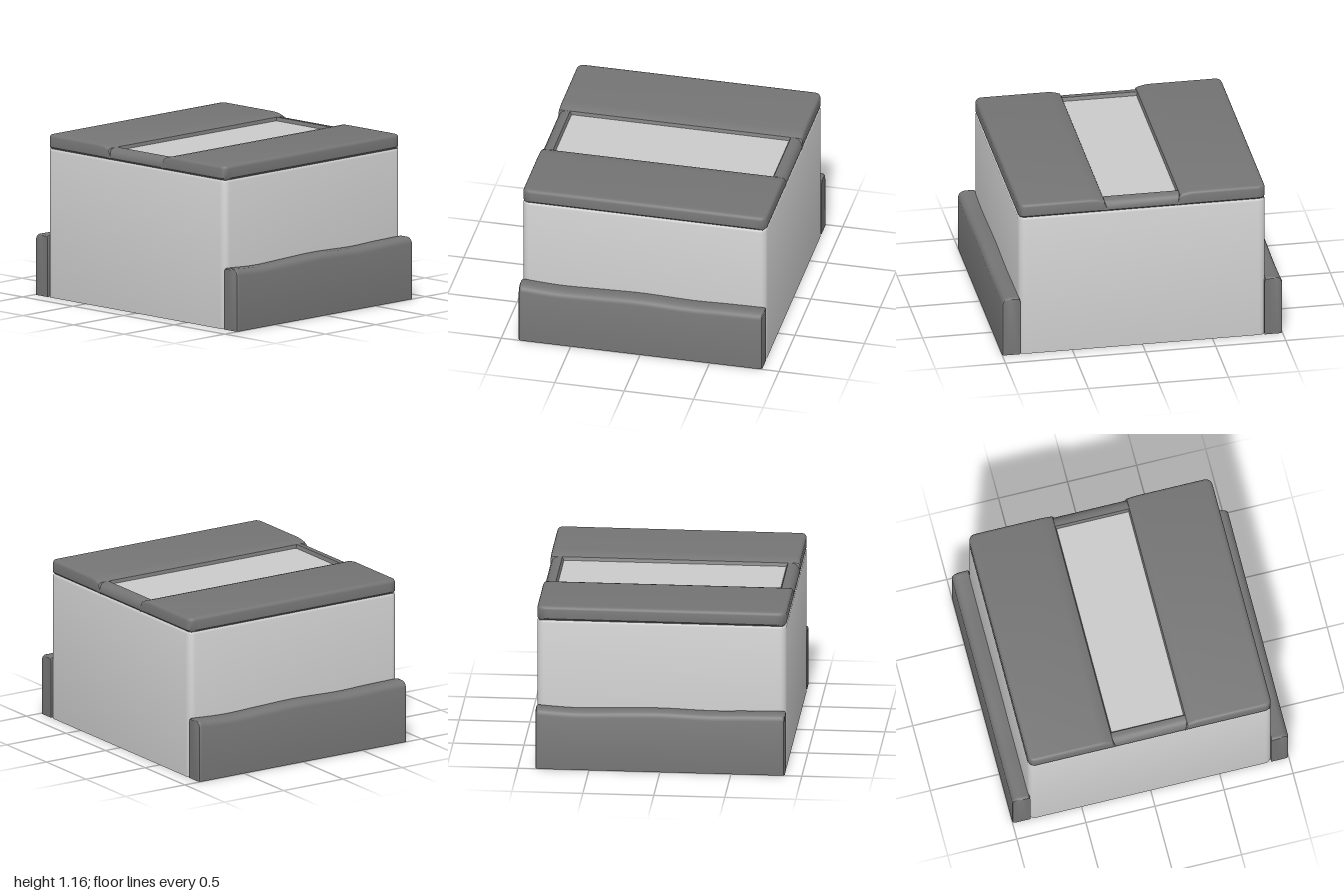
import * as THREE from 'three';
import { toCreasedNormals } from 'three/addons/utils/BufferGeometryUtils.js';

const W = 0.878, D = 0.88, R = 0.05;
const material = (color) => new THREE.MeshStandardMaterial({ color, side: THREE.DoubleSide });
const light = material(0xcccccc), dark = material(0x757575);

// Skin a surface over rows of points
function loft(name, rows, mat) {
  const n = rows[0].length, index = [];
  for (let i = 0; i < rows.length - 1; i++) {
    for (let j = 0; j < n - 1; j++) {
      const a = i * n + j, b = a + 1, d = a + n, c = d + 1;
      index.push(a, b, d, b, c, d);
    }
  }
  const geo = new THREE.BufferGeometry();
  geo.setAttribute('position', new THREE.Float32BufferAttribute(rows.flat(2), 3));
  geo.setIndex(index);
  const mesh = new THREE.Mesh(toCreasedNormals(geo, 0.65), mat);
  mesh.name = name;
  return mesh;
}

// Rounded rectangle ring at height y
function ring(y, inset) {
  const pts = [];
  for (let q = 0; q < 4; q++) {
    const sx = q === 0 || q === 3 ? 1 : -1, sz = q < 2 ? -1 : 1;
    for (let k = 0; k <= 6; k++) {
      const a = (q + k / 6) * Math.PI / 2;
      pts.push([sx * (W - R) + (R - inset) * Math.cos(a), y, sz * (D - R) - (R - inset) * Math.sin(a)]);
    }
  }
  pts.push([...pts[0]]);
  return pts;
}

// Half of the lid: cross-sections over the top, following z
function lidHalf() {
  const stations = [ // z, bottom, top
    [0.25, 1.06, 1.09], [0.27, 1.06, 1.14], [0.29, 1.06, 1.149], [0.32, 1.06, 1.157],
    [0.36, 1.06, 1.162], [0.83, 1.06, 1.162], [0.845, 1.06, 1.162], [0.86, 1.06, 1.161],
    [0.87, 1.064, 1.157], [0.876, 1.069, 1.15], [0.88, 1.075, 1.14],
    [0.88, 1.075, 1.075], [0.865, 1.06, 1.06]];
  const profile = [[0.015, 0], [0, 0.14], [0, 0.8], [0.005, 0.91], [0.013, 0.975], [0.025, 1]];
  const rows = stations.map(([z, b, t]) => {
    const s = Math.max(0, (z - D + R) / R);
    const w = W - R * (1 - Math.sqrt(1 - Math.min(1, s * s)));
    const side = profile.map(([inset, f]) => [w - inset, b + (t - b) * f, z]);
    return [...side, ...side.map(([x, y]) => [-x, y, z]).reverse()];
  });
  return loft('lidHalf', rows, dark);
}

// Low rounded rim closing the recess at one side
function recessRim() {
  const profile = [[0.782, 1.115], [0.795, 1.141], [0.82, 1.141], [0.843, 1.136],
    [0.862, 1.123], [0.873, 1.105], [W, 1.085], [W, 1.074], [W - 0.015, 1.06]];
  return loft('recessRim', [0.268, -0.268].map((z) => profile.map(([x, y]) => [x, y, z])), dark);
}

// Skirt panel with a gently wavy rounded top, open underneath
function skirt() {
  const wave = new THREE.SplineCurve([[-0.88, 0.441], [-0.6, 0.426], [-0.3, 0.434], [0, 0.441],
    [0.35, 0.431], [0.6, 0.437], [0.88, 0.441]].map(([x, y]) => new THREE.Vector2(x, y)));
  const section = (x, h, inset) => [[0.872, 0], [0.872, h - 0.02], [0.878, h - 0.006], [0.892, h],
    [0.955, h], [0.975, h - 0.006], [0.99, h - 0.018], [1, h - 0.042], [1, 0]]
    .map(([z, y]) => [x, Math.max(0, y), z > 0.95 ? z - inset : z]);
  const rows = [section(-W, 0, 0.018), section(-W, 0.432, 0.018), section(-W + 0.006, 0.438, 0.005)];
  for (let i = 0; i <= 36; i++) {
    const p = wave.getPoint(i / 36);
    rows.push(section(THREE.MathUtils.clamp(p.x, -W + 0.018, W - 0.018), p.y, 0));
  }
  rows.push(section(W - 0.006, 0.438, 0.005), section(W, 0.432, 0.018), section(W, 0, 0.018));
  return loft('skirt', rows, dark);
}

export function createModel() {
  const model = new THREE.Group();
  model.name = 'box';

  // Hollow body, open below
  model.add(loft('body', [ring(0, 0), ring(1.045, 0), ring(1.055, 0.005), ring(1.06, 0.015)], light));

  // Inlay panel in the lid recess
  const inlay = new THREE.Mesh(new THREE.PlaneGeometry(1.57, 0.54), light);
  inlay.name = 'inlayPanel';
  inlay.rotation.x = -Math.PI / 2;
  inlay.position.y = 1.117;
  model.add(inlay);

  // Lid halves, rims and skirts repeat on the opposite side by a half turn
  for (const [side, turn] of [['front', 0], ['back', Math.PI]]) {
    const half = new THREE.Group();
    half.name = side + 'Half';
    half.add(lidHalf(), recessRim(), skirt());
    half.rotation.y = turn;
    model.add(half);
  }
  return model;
}
